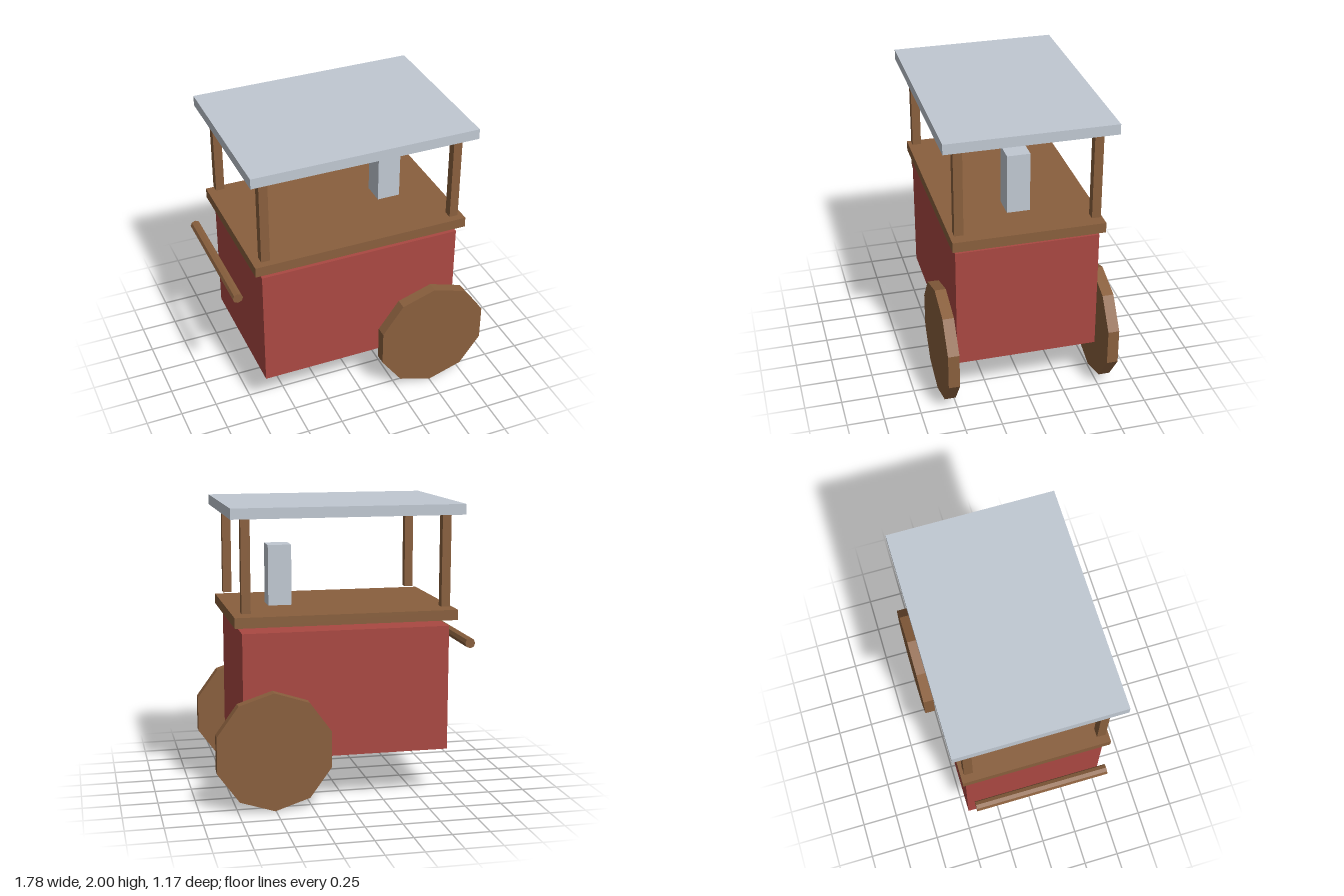
import * as THREE from 'three';

export function createModel() {
  const cart = new THREE.Group();
  cart.name = 'foodCart';

  const material = (name, color) => {
    const m = new THREE.MeshStandardMaterial({ color });
    m.name = name;
    return m;
  };
  const red = material('red paint', 0xaa4842);
  const wood = material('brown wood', 0x895f3d);
  const metal = material('pale metal', 0xc0c8d2);

  const add = (name, geometry, mat, x, y, z) => {
    const mesh = new THREE.Mesh(geometry, mat);
    mesh.name = name;
    mesh.position.set(x, y, z);
    cart.add(mesh);
    return mesh;
  };
  const box = (name, mat, w, h, d, x, y, z) =>
    add(name, new THREE.BoxGeometry(w, h, d), mat, x, y, z);

  // Faceted cylinder lying along z
  const disc = (name, radius, depth, sides, x, y, z) => {
    const g = new THREE.CylinderGeometry(radius, radius, depth, sides)
      .rotateX(Math.PI / 2)
      .toNonIndexed();
    g.computeVertexNormals();
    return add(name, g, wood, x, y, z);
  };

  // Body, counter, chimney and roof
  box('body', red, 1.396, 0.853, 0.963, -0.002, 0.755, 0);
  box('counter', wood, 1.497, 0.07, 1.016, -0.002, 1.258, 0);
  box('chimney', metal, 0.16, 0.508, 0.156, 0.376, 1.451, 0);
  box('roof', metal, 1.55, 0.07, 1.126, -0.002, 1.965, 0);

  // Four roof posts, two ten-sided wheels
  for (const side of [1, -1]) {
    for (const end of [1, -1]) {
      box('roofPost', wood, 0.06, 0.617, 0.06, end * 0.67 - 0.002, 1.622, side * 0.455);
    }
    disc('wheel', 0.4, 0.076, 10, 0.506, 0.404, side * 0.546);
  }

  // Push handle
  disc('handle', 0.035, 0.91, 8, -0.86, 1.05, 0);

  return cart;
}
